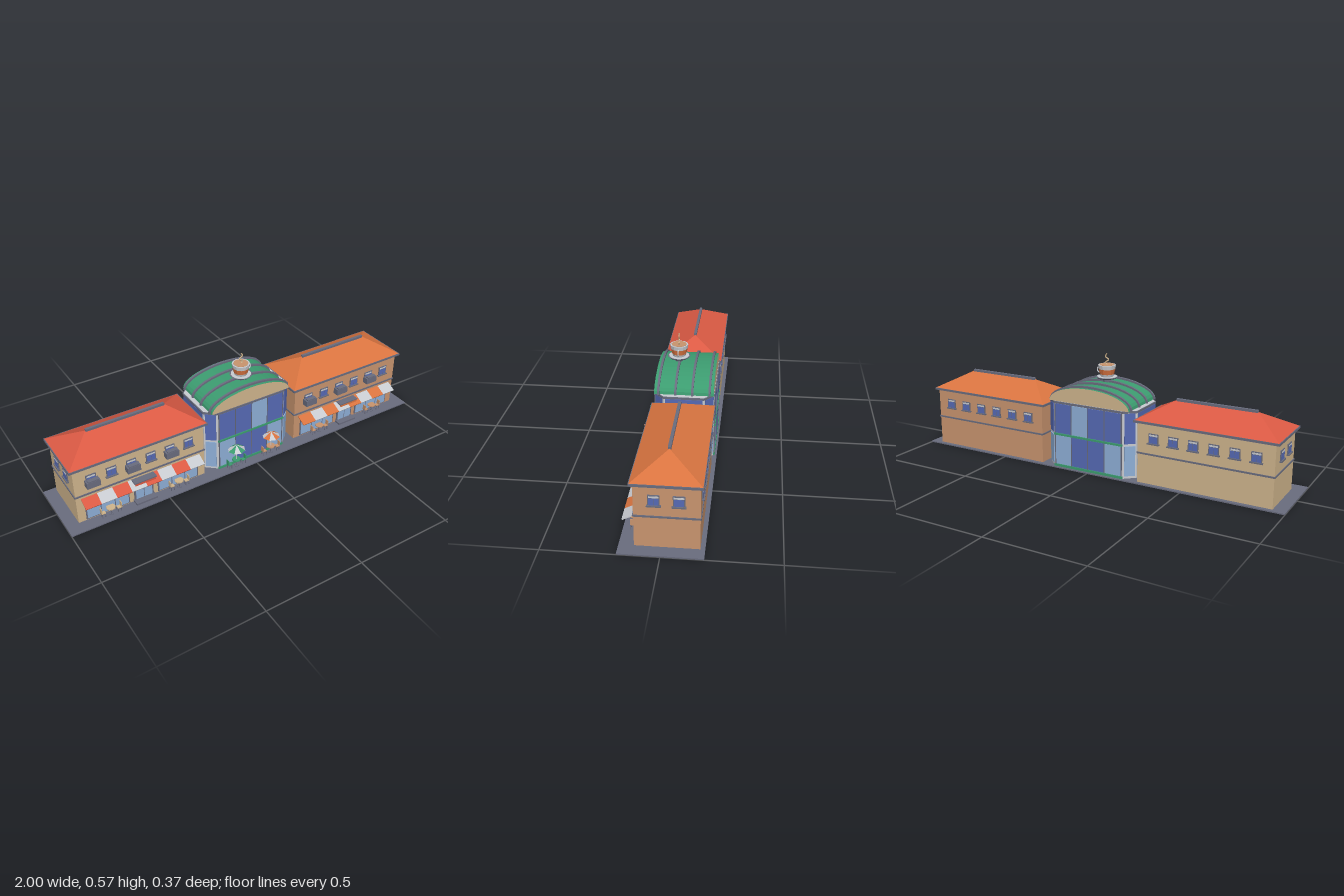
import * as THREE from 'three';

const mat = (name, color, extra = {}) => {
  const m = new THREE.MeshStandardMaterial({ color, flatShading: true, ...extra });
  m.name = name;
  return m;
};

export function createModel() {
  const M = {
    tan: mat('sand', 0xcfb48c), clay: mat('clay', 0xc8946e),
    red: mat('red', 0xdb5a44, { side: THREE.DoubleSide }),
    orange: mat('orange', 0xd97440, { side: THREE.DoubleSide }),
    green: mat('green', 0x3c9c70, { side: THREE.DoubleSide }),
    slate: mat('slate', 0x696c7e), blue: mat('deep glass', 0x566ab4),
    sky: mat('pale glass', 0x8eaed6),
    pale: mat('pale grey', 0xc8cbd0, { side: THREE.DoubleSide }),
  };
  const model = new THREE.Group();
  model.name = 'arcade';

  const add = (parent, name, geo, m, x = 0, y = 0, z = 0) => {
    const mesh = new THREE.Mesh(geo, m);
    mesh.name = name;
    mesh.position.set(x, y, z);
    parent.add(mesh);
    return mesh;
  };
  const box = (parent, name, m, w, h, d, x, y, z) =>
    add(parent, name, new THREE.BoxGeometry(w, h, d), m, x, y, z);
  const cyl = (parent, name, m, rt, rb, h, x, y, z, n = 12) =>
    add(parent, name, new THREE.CylinderGeometry(rt, rb, h, n), m, x, y, z);
  const group = (parent, name, x = 0, y = 0, z = 0, ry = 0) => {
    const g = new THREE.Group();
    g.name = name;
    g.position.set(x, y, z);
    g.rotation.y = ry;
    parent.add(g);
    return g;
  };

  box(model, 'pavement', M.slate, 2, 0.006, 0.36, 0, 0.003, 0);

  // small upper window, facing local +z
  function sashWindow(parent, x, z, ry) {
    const g = group(parent, 'upperWindow', x, 0.234, z, ry);
    box(g, 'windowFrame', M.slate, 0.05, 0.05, 0.008, 0, 0, 0.001);
    for (const s of [-1, 1]) box(g, 'windowPane', M.blue, 0.02, 0.032, 0.004, s * 0.0108, -0.005, 0.004);
    box(g, 'windowBlind', M.pale, 0.042, 0.008, 0.004, 0, 0.017, 0.004);
    box(g, 'windowSill', M.slate, 0.06, 0.006, 0.014, 0, -0.025, 0.004);
  }

  // table with a chair at each side
  function tableSet(parent, x, z, topMat) {
    const g = group(parent, 'tableSet', x, 0, z);
    cyl(g, 'tableTop', topMat, 0.022, 0.022, 0.005, 0, 0.046, 0);
    cyl(g, 'tableLeg', M.slate, 0.003, 0.003, 0.04, 0, 0.025, 0, 6);
    cyl(g, 'tableFoot', M.slate, 0.012, 0.012, 0.003, 0, 0.008, 0, 8);
    for (const s of [-1, 1]) {
      box(g, 'chairSeat', topMat, 0.02, 0.004, 0.02, s * 0.04, 0.03, 0);
      box(g, 'chairBack', topMat, 0.004, 0.028, 0.02, s * 0.05, 0.044, 0);
      for (const a of [-1, 1]) for (const b of [-1, 1])
        box(g, 'chairLeg', M.slate, 0.003, 0.024, 0.003, s * 0.04 + a * 0.008, 0.018, b * 0.008);
    }
  }

  // hipped roof from four planes, rectangle below and ridge above
  function hipRoof(hw, z0, z1, y0, ridge, zr, y1) {
    const a = [-hw, y0, z1], b = [hw, y0, z1], c = [hw, y0, z0], d = [-hw, y0, z0];
    const e = [-ridge, y1, zr], f = [ridge, y1, zr];
    const tris = [a, b, f, a, f, e, c, d, e, c, e, f, b, c, f, d, a, e];
    const geo = new THREE.BufferGeometry();
    geo.setAttribute('position', new THREE.Float32BufferAttribute(tris.flat(), 3));
    geo.computeVertexNormals();
    return geo;
  }

  function wing(name, cx, wall, accent) {
    const g = group(model, name, cx);
    const zf = 0.115, zb = -0.16, zc = (zf + zb) / 2, depth = zf - zb;
    box(g, 'walls', wall, 0.668, 0.3, depth, 0, 0.156, zc);
    box(g, 'beltCourse', M.slate, 0.676, 0.008, depth + 0.008, 0, 0.155, zc);
    box(g, 'eaves', M.slate, 0.704, 0.011, 0.303, 0, 0.309, -0.0215);
    add(g, 'roof', hipRoof(0.348, -0.17, 0.127, 0.3147, 0.2, -0.02, 0.396), accent);
    box(g, 'ridgeCap', M.slate, 0.4, 0.012, 0.014, 0, 0.398, -0.02);

    // upper windows, with a balcony at every second one in front
    for (let i = 0; i < 6; i++) {
      const x = -0.25 + i * 0.1;
      sashWindow(g, x, zf, 0);
      sashWindow(g, x, zb, Math.PI);
      if (i % 2 === 0) {
        box(g, 'balcony', M.slate, 0.066, 0.032, 0.032, x, 0.222, zf + 0.019);
        box(g, 'balconyRail', M.slate, 0.05, 0.006, 0.02, x, 0.241, zf + 0.024);
      }
    }
    for (const z of [0.03, -0.073]) sashWindow(g, Math.sign(cx) * 0.334, z, Math.sign(cx) * Math.PI / 2);

    // shop front
    for (const s of [-1, 1]) {
      box(g, 'shopFrame', M.slate, 0.22, 0.1, 0.006, s * 0.185, 0.062, zf + 0.001);
      for (let i = -1; i <= 1; i++)
        box(g, 'shopPane', M.sky, 0.066, 0.09, 0.004, s * 0.185 + i * 0.071, 0.062, zf + 0.004);
      tableSet(g, s * 0.18, 0.137, wall === M.tan ? M.tan : M.clay);
    }
    box(g, 'doorFrame', M.slate, 0.1, 0.11, 0.008, 0, 0.065, zf + 0.001);
    for (const s of [-1, 1]) box(g, 'doorLeaf', M.sky, 0.04, 0.09, 0.004, s * 0.022, 0.063, zf + 0.005);
    box(g, 'doorStep', M.slate, 0.11, 0.01, 0.038, 0, 0.011, 0.134);
    box(g, 'doorCanopy', M.slate, 0.116, 0.005, 0.04, 0, 0.137, 0.133);
    box(g, 'canopyPanel', accent, 0.106, 0.016, 0.036, 0, 0.127, 0.133);

    // striped awning
    const aw = group(g, 'awning', 0, 0.124, 0.141);
    aw.rotation.x = 0.46;
    for (let i = 0; i < 8; i++)
      box(aw, 'awningStripe', i % 2 ? M.pale : accent, 0.077, 0.005, 0.058, -0.27 + i * 0.077, 0, 0);
  }
  wing('rightWing', -0.605, M.tan, M.red);
  wing('leftWing', 0.605, M.clay, M.orange);

  // glazed hall with cut corners
  const hall = group(model, 'centralHall');
  const plan = [[-0.193, 0.12], [0.193, 0.12], [0.245, 0.075], [0.245, -0.118],
    [0.193, -0.163], [-0.193, -0.163], [-0.245, -0.118], [-0.245, 0.075]];
  const outline = new THREE.Shape(plan.map(([x, z]) => new THREE.Vector2(x, -z)));
  const core = new THREE.ExtrudeGeometry(outline, { depth: 0.339, bevelEnabled: false });
  core.rotateX(-Math.PI / 2);
  add(hall, 'hallCore', core, M.pale, 0, 0.006, 0);

  plan.forEach(([x0, z0], i) => {
    const [x1, z1] = plan[(i + 1) % 8];
    const w = Math.hypot(x1 - x0, z1 - z0);
    const face = group(hall, 'glassWall', (x0 + x1) / 2, 0, (z0 + z1) / 2, Math.atan2(z0 - z1, x1 - x0));
    const wide = i % 4 === 0;
    const n = wide ? 4 : 1, step = (w - 0.012) / n;
    const bright = i === 4 ? 1 : 2;
    for (let k = 0; k < n; k++) {
      const x = (k - (n - 1) / 2) * step;
      const upper = wide && k === bright ? M.sky : M.blue;
      const lower = wide && (k === 1 || k === 2) ? M.blue : M.sky;
      box(face, 'upperGlass', upper, step - 0.003, 0.15, 0.006, x, 0.257, 0.001);
      box(face, 'lowerGlass', lower, step - 0.003, 0.15, 0.006, x, 0.094, 0.001);
    }
    if (wide) {
      for (let k = 0; k <= n; k++)
        box(face, 'mullion', M.slate, 0.004, 0.33, 0.008, (k - n / 2) * step, 0.171, 0.002);
      box(face, 'middleRail', M.green, w, 0.01, 0.012, 0, 0.176, 0.002);
      box(face, 'baseRail', M.green, w, 0.012, 0.01, 0, 0.012, 0.002);
    }
    box(face, 'topBeam', M.slate, w, 0.01, 0.008, 0, 0.339, 0.001);
  });

  // vaulted roof: sand gable ends, green vault and dark ribs
  const vault = (rx, ry, depth) => {
    const s = new THREE.Shape();
    s.absellipse(0, 0, rx, ry, 0, Math.PI, false);
    return new THREE.ExtrudeGeometry(s, { depth, bevelEnabled: false, curveSegments: 9 });
  };
  add(hall, 'vaultRoof', vault(0.223, 0.081, 0.284), [M.tan, M.green], 0, 0.345, -0.162);
  for (const z of [0.102, 0.02, -0.06, -0.142])
    add(hall, 'roofRib', vault(0.231, 0.091, 0.011), M.slate, 0, 0.345, z - 0.0055);

  // cup on the roof
  const cup = group(model, 'rooftopCup', 0, 0, 0.025);
  cyl(cup, 'stem', M.slate, 0.02, 0.02, 0.03, 0, 0.432, 0);
  cyl(cup, 'saucer', M.slate, 0.056, 0.048, 0.007, 0, 0.448, 0, 16);
  cyl(cup, 'saucerTop', M.pale, 0.05, 0.05, 0.002, 0, 0.4525, 0, 16);
  cyl(cup, 'cupBase', M.pale, 0.036, 0.032, 0.013, 0, 0.459, 0);
  cyl(cup, 'cupBand', M.orange, 0.042, 0.036, 0.026, 0, 0.4785, 0);
  cyl(cup, 'cupRim', M.pale, 0.045, 0.042, 0.02, 0, 0.5015, 0);
  cyl(cup, 'drink', M.clay, 0.037, 0.037, 0.002, 0, 0.512, 0);
  const handle = new THREE.TorusGeometry(0.014, 0.0035, 6, 10, Math.PI);
  handle.rotateZ(-Math.PI / 2);
  add(cup, 'cupHandle', handle, M.pale, 0.042, 0.482, 0);
  const wisp = new THREE.CatmullRomCurve3([[0, 0.51], [0.01, 0.522], [-0.009, 0.537], [0.009, 0.552], [0, 0.57]]
    .map(([x, y]) => new THREE.Vector3(x, y, 0)));
  add(cup, 'steam', new THREE.TubeGeometry(wisp, 16, 0.0035, 5), M.tan);

  // parasols in front of the hall
  function parasol(x, accent) {
    const g = group(model, 'parasolSet', x, 0, 0.147);
    cyl(g, 'parasolPole', M.pale, 0.0025, 0.0025, 0.125, 0, 0.068, 0, 6);
    for (let i = 0; i < 8; i++)
      add(g, 'parasolPanel', new THREE.ConeGeometry(0.045, 0.027, 1, 1, true, i * Math.PI / 4, Math.PI / 4),
        i % 2 ? M.pale : accent, 0, 0.122, 0);
    tableSet(g, 0, 0, accent === M.green ? M.green : M.clay);
  }
  parasol(-0.103, M.green);
  parasol(0.105, M.orange);

  return model;
}
